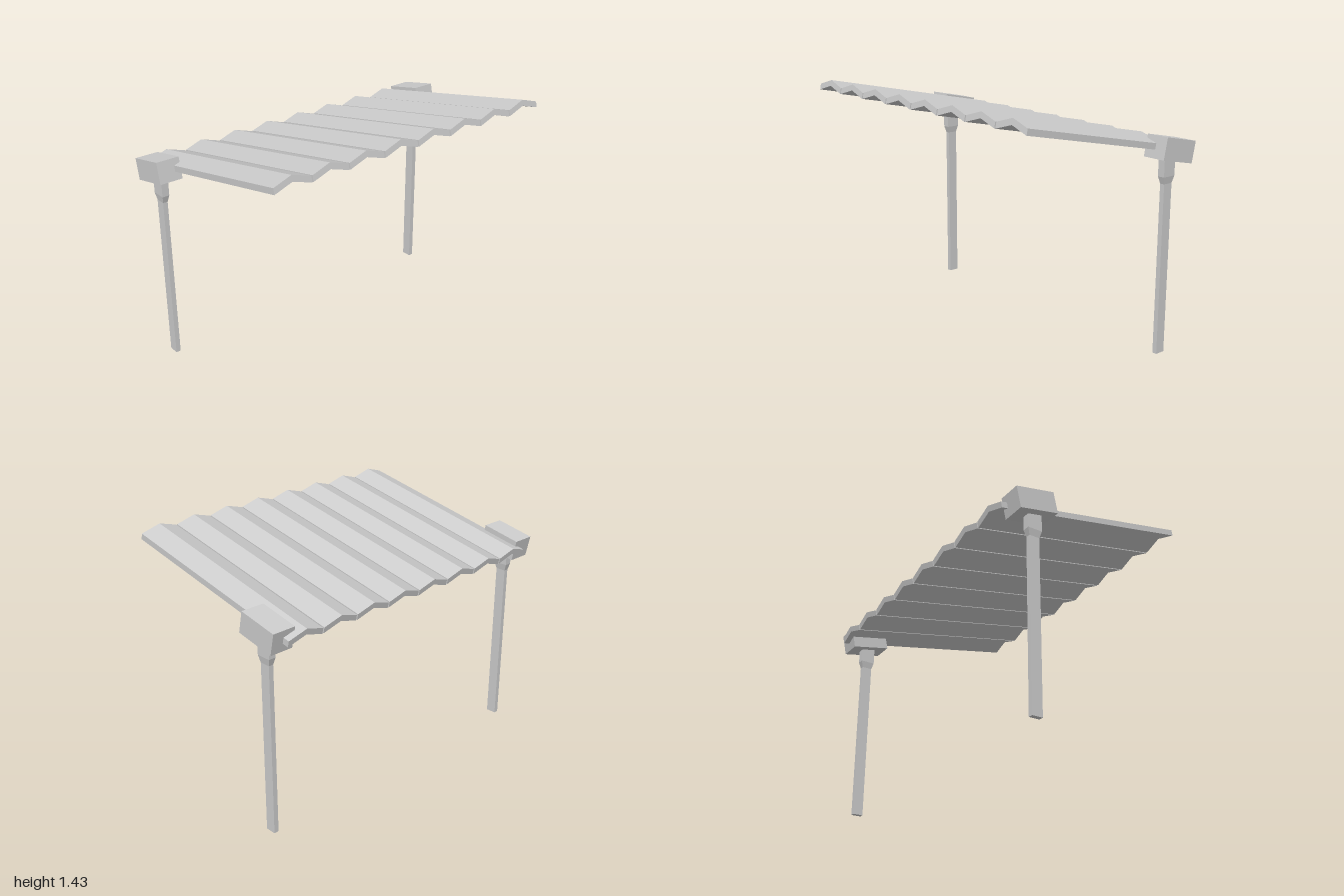
import * as THREE from 'three';

const material = new THREE.MeshStandardMaterial({ color: 0xcccccc, flatShading: true });
const TILT = -0.208;

function part(name, geometry, parent, x = 0, y = 0, z = 0) {
  const mesh = new THREE.Mesh(geometry, material);
  mesh.name = name;
  mesh.position.set(x, y, z);
  parent.add(mesh);
  return mesh;
}

// Upright block from y0 to y1, with its bottom end narrowed by sx, sz
function block(w, d, y0, y1, sx = 1, sz = 1) {
  const g = new THREE.BoxGeometry(w, y1 - y0, d);
  const p = g.attributes.position;
  for (let i = 0; i < p.count; i++) {
    if (p.getY(i) < 0) p.setXYZ(i, p.getX(i) * sx, p.getY(i), p.getZ(i) * sz);
  }
  g.translate(0, (y0 + y1) / 2, 0);
  g.computeVertexNormals();
  return g;
}

// Chevron-section roof panel running along z
function panelGeometry(width, length) {
  const h = width / 2, t = 0.034;
  const shape = new THREE.Shape([
    [-h, -t], [0, 0], [h, -t], [h, 0], [0, t], [-h, 0],
  ].map(([x, y]) => new THREE.Vector2(x, y)));
  const g = new THREE.ExtrudeGeometry(shape, { depth: length, bevelEnabled: false });
  g.translate(0, 0, -length / 2);
  return g;
}

export function createModel() {
  const model = new THREE.Group();
  model.name = 'canopy';

  // Tilted roof of eight folded panels
  const roof = new THREE.Group();
  roof.name = 'roof';
  roof.position.y = 1.27;
  roof.rotation.x = TILT;
  model.add(roof);
  const panel = panelGeometry(0.222, 1.196);
  for (let i = 0; i < 8; i++) part('roofPanel', panel, roof, -0.789 + i * 0.2297);

  // Posts with flared heads and the brackets gripping the roof
  const bracketShape = new THREE.BoxGeometry(0.136, 0.122, 0.234);
  for (const [side, postX, bracketX] of [['right', -0.935, -0.932], ['left', 0.926, 0.931]]) {
    const support = new THREE.Group();
    support.name = side + 'Support';
    model.add(support);
    part('post', block(0.028, 0.06, 0, 0.975), support, postX, 0, -0.416);
    part('postFlare', block(0.042, 0.084, 0.972, 1.012, 0.667, 0.714), support, postX, 0, -0.416);
    part('postHead', block(0.042, 0.084, 1.012, 1.125), support, postX, 0, -0.416);
    part('bracket', bracketShape, support, bracketX, 1.159, -0.43).rotation.x = TILT;
  }
  return model;
}
